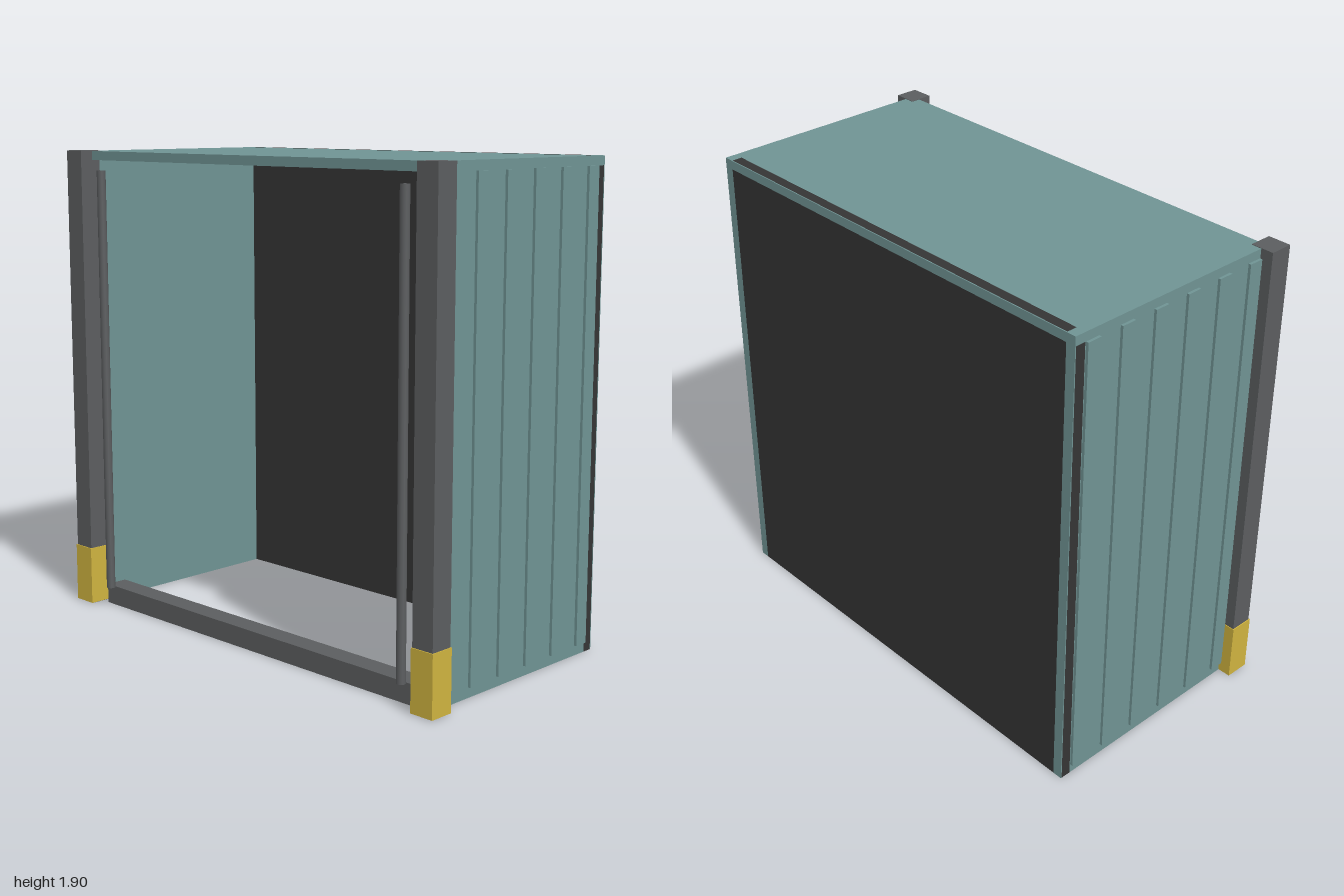
import * as THREE from 'three';

const material = (color) => new THREE.MeshStandardMaterial({ color });

export function createModel() {
  const group = new THREE.Group();
  const teal = material(0x709494);
  const dark = material(0x353535);
  const steel = material(0x5c5e60);
  const yellow = material(0xd0b440);

  // Box given by its extents on each axis
  const box = (name, mat, [x0, x1], [y0, y1], [z0, z1]) => {
    const mesh = new THREE.Mesh(new THREE.BoxGeometry(x1 - x0, y1 - y0, z1 - z0), mat);
    mesh.position.set((x0 + x1) / 2, (y0 + y1) / 2, (z0 + z1) / 2);
    mesh.name = name;
    group.add(mesh);
  };
  // Same box on the left (+x) or right (-x) side
  const sideBox = (name, mat, s, [a, b], y, z) =>
    box(name, mat, s > 0 ? [a, b] : [-b, -a], y, z);

  const top = 1.896, under = 1.86;
  const inner = 0.905, outer = 0.945;
  const back = -0.5, wallFront = -0.455, trim = 0.004;

  // Roof and back wall
  box('roof', teal, [-outer, outer], [under, top], [wallFront, 0.44]);
  box('backWall', dark, [-inner, inner], [0, under], [back, wallFront]);
  box('backWallTop', dark, [-inner, inner], [under, top], [back + trim, wallFront]);
  box('backTopTrim', teal, [-inner, inner], [under, top], [back, back + trim]);

  for (const s of [1, -1]) {
    // Side wall and rear corner
    sideBox('sideWall', teal, s, [inner, outer], [0, under], [wallFront, 0.41]);
    sideBox('rearCorner', dark, s, [inner, outer], [0, under], [back + trim, wallFront]);
    sideBox('rearCornerCap', teal, s, [inner, outer], [under, top], [back + trim, wallFront]);
    sideBox('backSideTrim', teal, s, [inner, outer], [0, top], [back, back + trim]);

    // Raised ribs on the outside of the wall
    for (let i = 0; i < 6; i++) {
      const z = -0.422 + i * 0.1585;
      sideBox('wallRib', teal, s, [outer - 0.01, 0.956], [0.04, under], [z - 0.03, z + 0.03]);
    }

    // Front post with its yellow guard
    sideBox('frontPost', steel, s, [0.903, 0.996], [0, 1.898], [0.403, 0.496]);
    sideBox('postGuard', yellow, s, [0.9, 1], [0.002, 0.24], [0.4, 0.5]);

    // Vertical rod beside the opening
    const rod = new THREE.Mesh(new THREE.CylinderGeometry(0.018, 0.018, 1.74, 12), steel);
    rod.position.set(s * 0.82, 0.95, 0.46);
    rod.name = 'frontRod';
    group.add(rod);
  }

  // Sill across the front opening
  box('frontSill', steel, [-0.867, 0.867], [0, 0.08], [0.35, 0.44]);

  return group;
}
